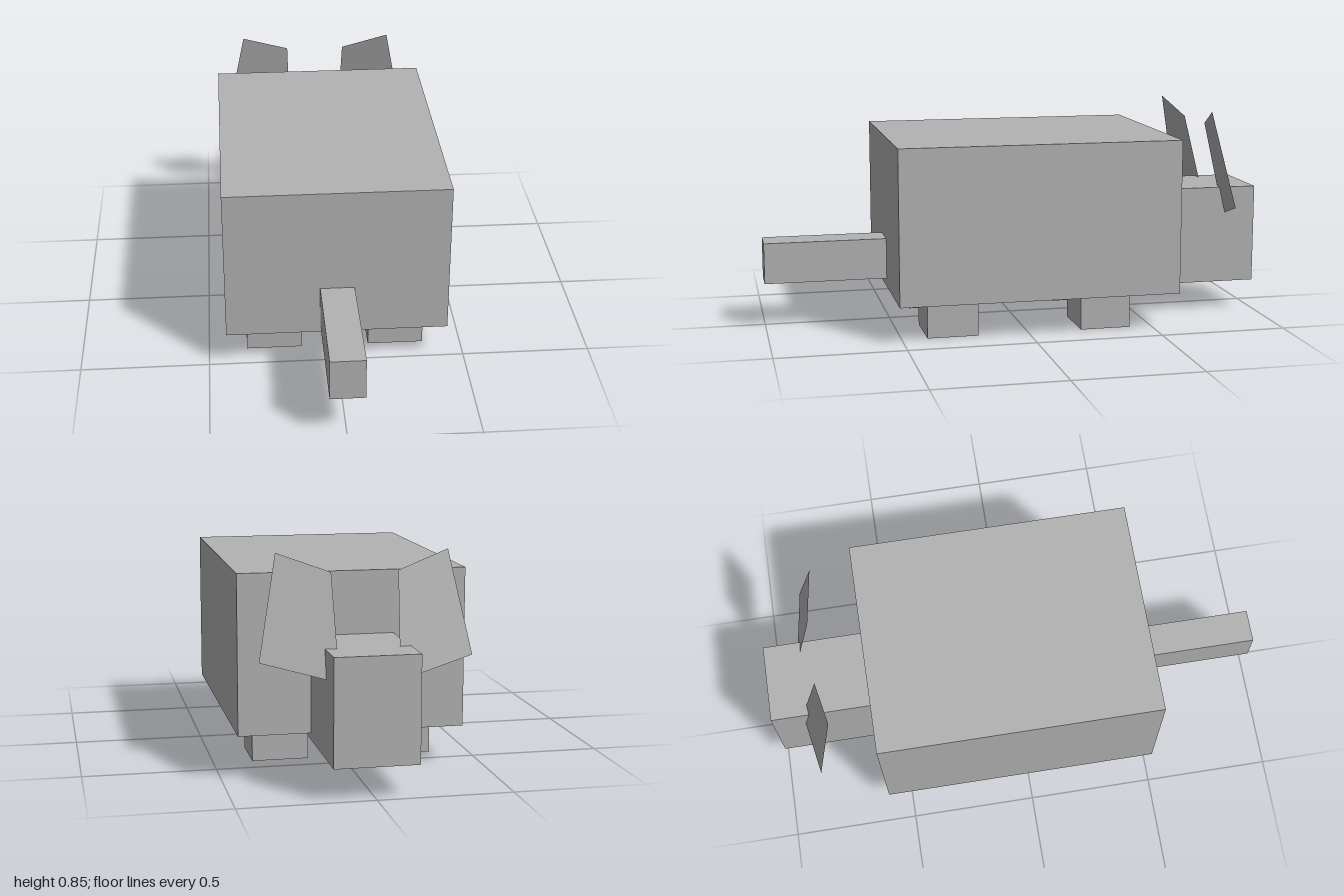
import * as THREE from 'three';

export function createModel() {
  const model = new THREE.Group();
  const grey = new THREE.MeshStandardMaterial({ color: 0xb2b2b2, side: THREE.DoubleSide });
  grey.name = 'grey';

  const add = (name, geometry) => {
    const mesh = new THREE.Mesh(geometry, grey);
    mesh.name = name;
    model.add(mesh);
    return mesh;
  };

  // Box given by its extents along each axis
  const block = (name, [x0, x1], [y0, y1], [z0, z1]) =>
    add(name, new THREE.BoxGeometry(x1 - x0, y1 - y0, z1 - z0))
      .position.set((x0 + x1) / 2, (y0 + y1) / 2, (z0 + z1) / 2);

  block('body', [-0.43, 0.43], [0.146, 0.753], [-0.592, 0.517]);
  block('head', [-0.156, 0.156], [0.12, 0.515], [-1, -0.5]);
  block('tail', [-0.066, 0.066], [0.18, 0.342], [0.51, 1]);

  // Flat tilted ear: outer top, inner top, inner bottom (inside the head), outer bottom
  const earCorners = [
    [0.315, 0.846, -0.75],
    [0.122, 0.778, -0.789],
    [0.11, 0.398, -0.882],
    [0.388, 0.47, -0.831],
  ];

  for (const side of [1, -1]) {
    const label = side > 0 ? 'left' : 'right';

    const ear = new THREE.BufferGeometry();
    const points = earCorners.flatMap(([x, y, z]) => [x * side, y, z]);
    ear.setAttribute('position', new THREE.Float32BufferAttribute(points, 3));
    ear.setIndex(side > 0 ? [0, 1, 2, 0, 2, 3] : [0, 2, 1, 0, 3, 2]);
    ear.computeVertexNormals();
    add(`${label}Ear`, ear);

    // Stubby legs
    const legX = side > 0 ? [0.132, 0.35] : [-0.35, -0.132];
    block(`${label}TailEndLeg`, legX, [0, 0.15], [0.2, 0.4]);
    block(`${label}HeadEndLeg`, legX, [0, 0.15], [-0.412, -0.212]);
  }

  return model;
}
